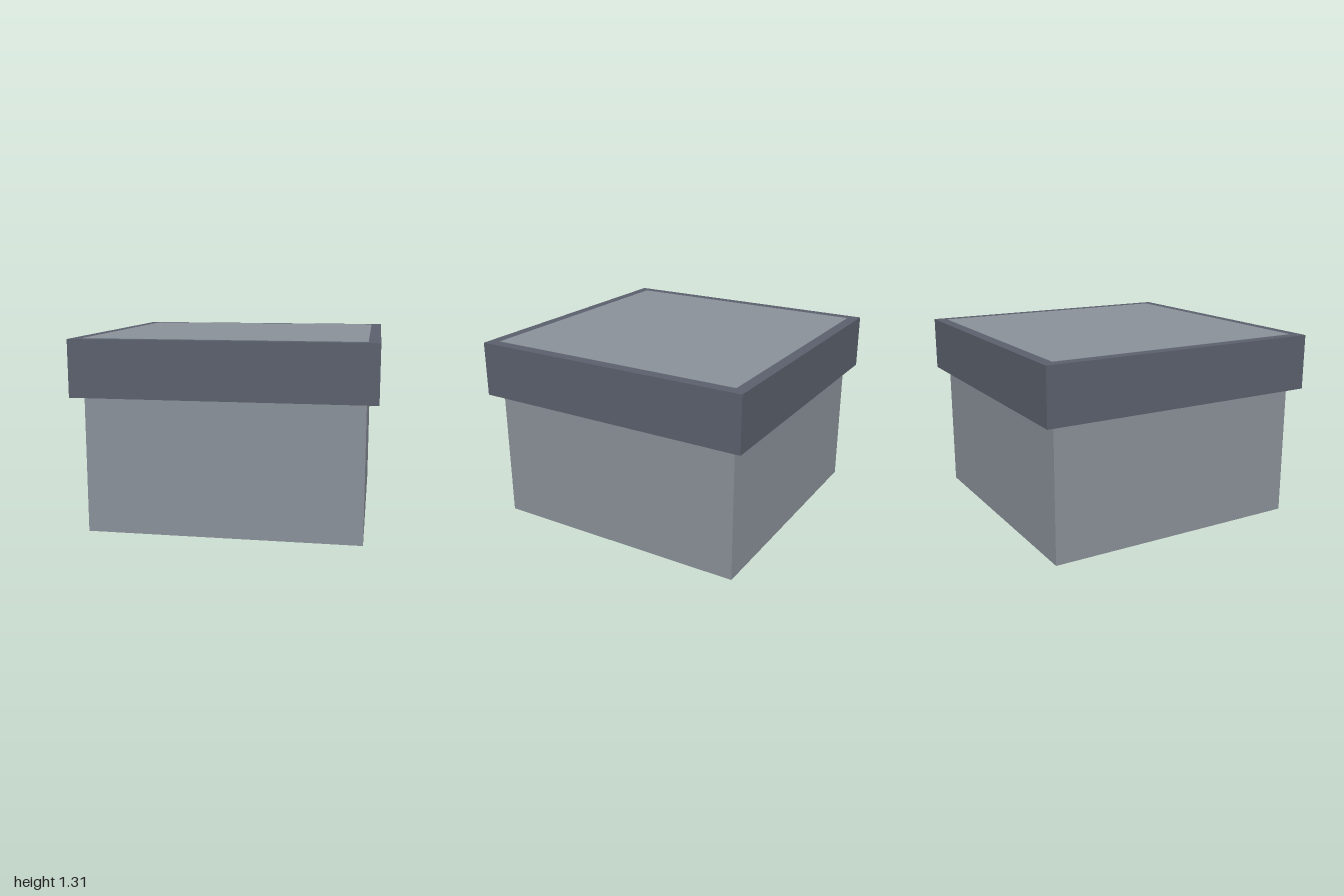
import * as THREE from 'three';

// Box centred on x and z, spanning bottom..top in y
function block(name, width, bottom, top, color) {
  const geometry = new THREE.BoxGeometry(width, top - bottom, width);
  geometry.translate(0, (bottom + top) / 2, 0);
  const mesh = new THREE.Mesh(geometry, new THREE.MeshStandardMaterial({ color }));
  mesh.name = name;
  return mesh;
}

export function createModel() {
  const model = new THREE.Group();
  model.name = 'liddedBox';

  // Square body; its top sits a hair above the band so the inset panel shows cleanly
  model.add(block('body', 1.846, 0, 1.312, 0x8a9099));

  // Wider dark band around the upper part
  model.add(block('lidBand', 2, 0.927, 1.31, 0x5a606c));

  return model;
}
